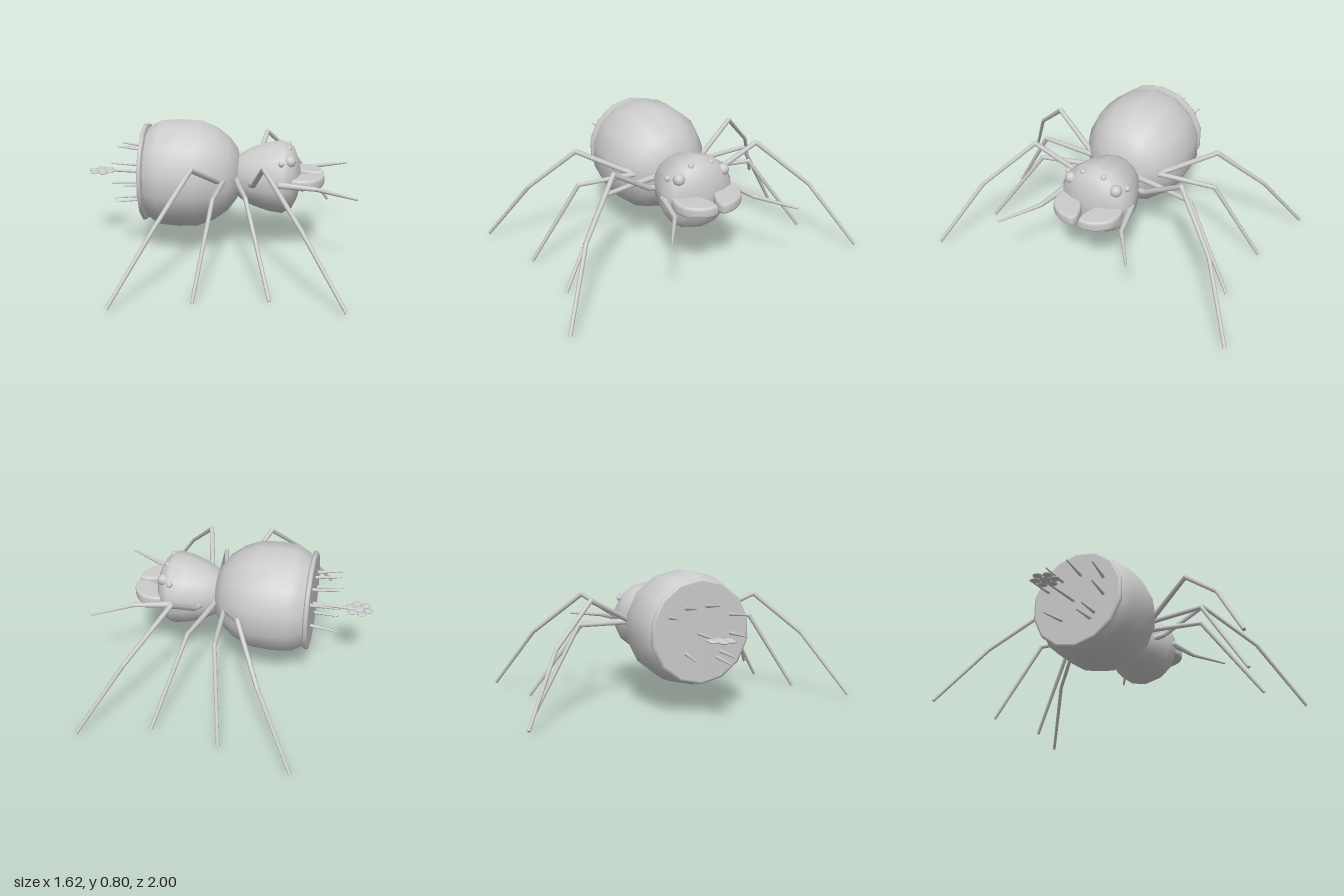
import * as THREE from 'three';

const UP = new THREE.Vector3(0, 1, 0);

export function createModel() {
  const model = new THREE.Group();
  const mat = new THREE.MeshStandardMaterial({ color: 0xcccccc, side: THREE.DoubleSide });

  function add(geometry, name, parent = model) {
    const mesh = new THREE.Mesh(geometry, mat);
    mesh.name = name;
    parent.add(mesh);
    return mesh;
  }

  // Body of revolution along x, from [x, radius] pairs
  function turned(pairs, y, name) {
    const pts = pairs.map(([x, r]) => new THREE.Vector2(r, x));
    const g = new THREE.LatheGeometry(pts, 14, Math.PI / 2);
    g.rotateZ(-Math.PI / 2);
    return add(g.translate(0, y, 0), name);
  }

  function rod(a, b, r0, r1, name, parent) {
    const p = new THREE.Vector3(...a), q = new THREE.Vector3(...b);
    const d = q.clone().sub(p);
    const mesh = add(new THREE.CylinderGeometry(r1, r0, d.length(), 8), name, parent);
    mesh.position.copy(p).add(q).multiplyScalar(0.5);
    mesh.quaternion.setFromUnitVectors(UP, d.normalize());
  }

  function ball(p, r, name, sy = 1, parent = model) {
    const mesh = add(new THREE.SphereGeometry(r, 12, 8), name, parent);
    mesh.position.set(...p);
    mesh.scale.y = sy;
    return mesh;
  }

  // Jointed limb through its points, tapering towards the tip
  function limb(points, r0, r1, name) {
    const group = new THREE.Group();
    group.name = name;
    const n = points.length - 1;
    const r = i => r0 + (r1 - r0) * i / n;
    for (let i = 0; i < n; i++) {
      rod(points[i], points[i + 1], r(i), r(i + 1), 'segment', group);
      ball(points[i], r(i), 'joint', 1, group);
    }
    model.add(group);
  }

  // Abdomen, cut flat at the rear, with a rim and end plate
  turned([[-0.44, 0.265], [-0.4, 0.295], [-0.35, 0.322], [-0.24, 0.332], [-0.12, 0.326], [-0.02, 0.285],
    [0.06, 0.225], [0.11, 0.155], [0.13, 0.08], [0.135, 0]], 0.477, 'abdomen');
  turned([[-0.461, 0.285], [-0.458, 0.297], [-0.445, 0.301], [-0.434, 0.295], [-0.43, 0.265]], 0.477, 'abdomenRim');
  const plate = add(new THREE.CircleGeometry(0.288, 14, Math.PI / 2), 'endPlate');
  plate.rotation.y = -Math.PI / 2;
  plate.position.set(-0.46, 0.477, 0);

  // Head
  turned([[0.11, 0.12], [0.13, 0.14], [0.2, 0.18], [0.3, 0.213], [0.385, 0.225], [0.44, 0.195],
    [0.475, 0.125], [0.49, 0.055], [0.493, 0]], 0.466, 'head');

  // Limbs, eyes and jaws, mirrored across z
  const legs = [
    [[0.04, 0.48, 0.2], [0, 0.51, 0.28], [-0.11, 0.64, 0.53], [-0.27, 0.4, 0.78], [-0.49, 0.03, 0.99]],
    [[0.04, 0.48, 0.15], [0.035, 0.485, 0.25], [0.01, 0.485, 0.57], [-0.07, 0.015, 0.855]],
    [[0.11, 0.475, 0.12], [0.13, 0.475, 0.24], [0.185, 0.475, 0.49], [0.33, 0.015, 0.8]],
    [[0.2, 0.455, 0.16], [0.215, 0.47, 0.22], [0.28, 0.64, 0.47], [0.485, 0.39, 0.73], [0.72, 0.03, 0.935]],
  ];
  const palp = [[0.37, 0.47, 0.21], [0.58, 0.465, 0.255], [0.8, 0.455, 0.395]];

  const jaw = new THREE.Shape();
  jaw.moveTo(0.39, 0.15);
  jaw.bezierCurveTo(0.43, 0.2, 0.52, 0.2, 0.56, 0.17);
  jaw.bezierCurveTo(0.61, 0.13, 0.63, 0.06, 0.62, 0.025);
  jaw.bezierCurveTo(0.59, 0.01, 0.52, 0.03, 0.46, 0.08);
  jaw.lineTo(0.39, 0.15);

  for (const s of [1, -1]) {
    const side = s > 0 ? 'Right' : 'Left';
    const flip = pts => pts.map(([x, y, z]) => [x, y, z * s]);
    legs.forEach((leg, i) => limb(flip(leg), 0.019, 0.01, `leg${side}${i + 1}`));
    limb(flip(palp), 0.02, 0.006, `feeler${side}`);
    ball([0.425, 0.595, 0.143 * s], 0.035, `mainEye${side}`);
    ball([0.375, 0.592, 0.187 * s], 0.018, `outerEye${side}`);
    ball([0.418, 0.655, 0.064 * s], 0.017, `upperEye${side}`);

    const g = new THREE.ExtrudeGeometry(jaw, { depth: 0.024, bevelThickness: 0.02, bevelSize: 0.012,
      bevelSegments: 3, curveSegments: 8 });
    g.rotateX(Math.PI / 2);
    const mesh = add(g, `jaw${side}`);
    mesh.position.y = 0.477;
    mesh.scale.z = s;
  }

  // Bristles on the end plate: [y, z] at the tip
  const bristles = [[0.64, 0.035], [0.58, 0.205], [0.63, -0.105], [0.58, -0.215],
    [0.345, 0.14], [0.31, 0.11], [0.345, -0.105], [0.46, 0.205]];
  for (const [y, z] of bristles) {
    rod([-0.45, 0.47 + (y - 0.47) * 0.88, z * 0.88], [-0.62, y, z], 0.011, 0.004, 'bristle');
  }

  // Thread ending in a flat rosette
  rod([-0.45, 0.468, -0.015], [-0.72, 0.47, -0.03], 0.01, 0.007, 'thread');
  ball([-0.735, 0.47, -0.02], 0.034, 'rosetteCentre', 0.3);
  for (let i = 0; i < 6; i++) {
    const a = i * Math.PI / 3 + 0.2;
    ball([-0.735 + 0.056 * Math.cos(a), 0.47, -0.02 + 0.056 * Math.sin(a)], 0.028, 'rosettePetal', 0.3);
  }
  return model;
}
